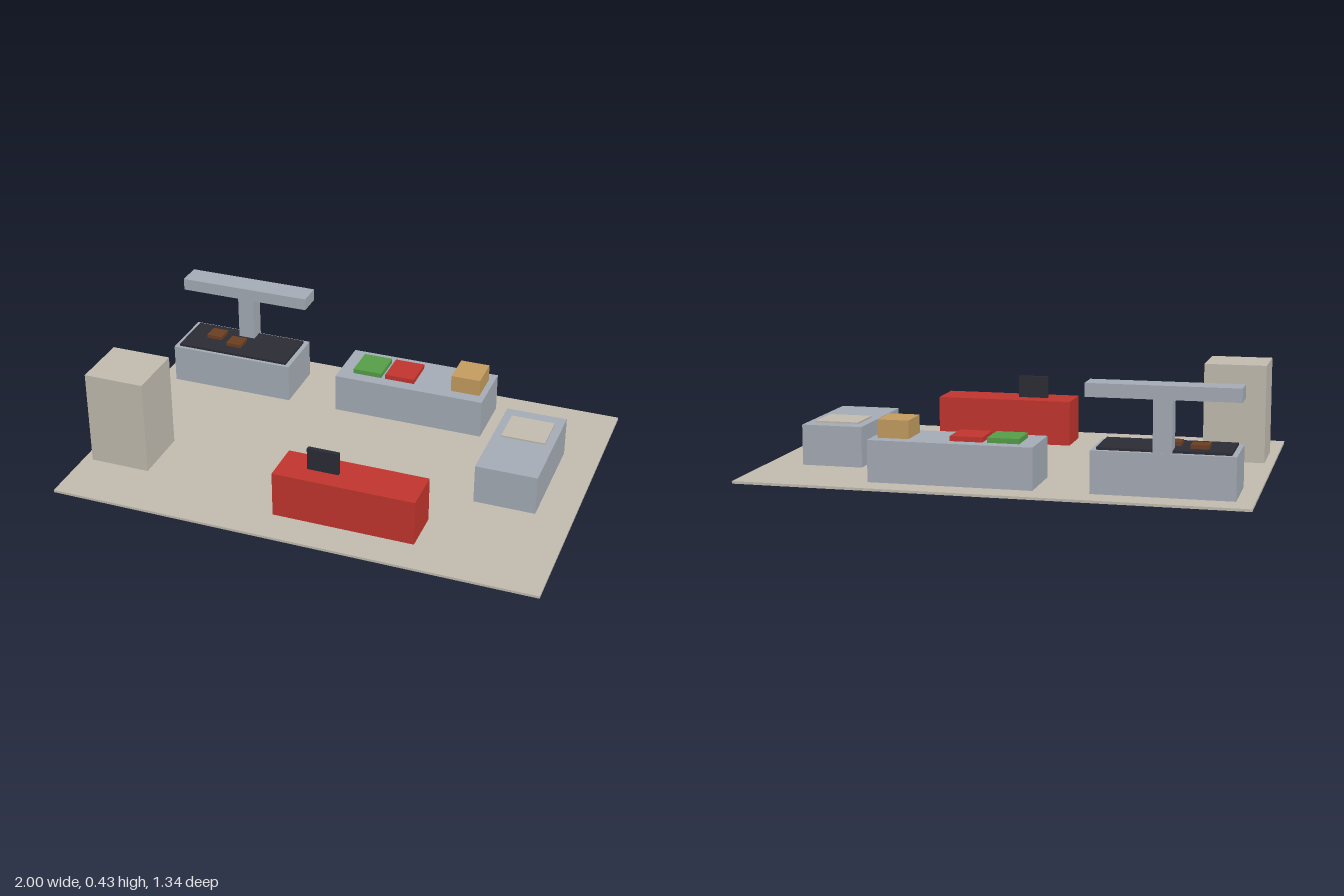
import * as THREE from 'three';

const material = (name, color) => {
  const m = new THREE.MeshStandardMaterial({ color });
  m.name = name;
  return m;
};

export function createModel() {
  const beige = material('beige', 0xc0baae);
  const steel = material('steel', 0xa4abb4);
  const red = material('red', 0xc0342d);
  const black = material('black', 0x2b2c34);
  const brown = material('brown', 0x6b3e22);
  const green = material('green', 0x559d48);
  const tan = material('tan', 0xc29b5e);

  const model = new THREE.Group();
  model.name = 'kitchen';

  const group = (name) => {
    const g = new THREE.Group();
    g.name = name;
    model.add(g);
    return g;
  };

  // Box given by its extents along x, y and z
  const box = (parent, name, mat, [x0, x1], [y0, y1], [z0, z1]) => {
    const mesh = new THREE.Mesh(new THREE.BoxGeometry(x1 - x0, y1 - y0, z1 - z0), mat);
    mesh.position.set((x0 + x1) / 2, (y0 + y1) / 2, (z0 + z1) / 2);
    mesh.name = name;
    parent.add(mesh);
  };

  const floorTop = 0.01;
  const top = 0.175;

  box(model, 'floor', beige, [-1, 1], [0, floorTop], [-0.672, 0.672]);
  box(model, 'fridge', beige, [-0.962, -0.71], [floorTop, 0.41], [0.165, 0.415]);

  // Grill with hood and patties
  const grill = group('grill');
  box(grill, 'grillBase', steel, [-0.93, -0.385], [floorTop, top], [-0.565, -0.315]);
  box(grill, 'grillPlate', black, [-0.91, -0.405], [top, 0.185], [-0.545, -0.33]);
  box(grill, 'hoodPost', steel, [-0.692, -0.62], [top, 0.38], [-0.563, -0.49]);
  box(grill, 'hood', steel, [-0.947, -0.368], [0.378, 0.43], [-0.583, -0.477]);
  for (const [x, z] of [[-0.785, -0.46], [-0.675, -0.42]])
    box(grill, 'patty', brown, [x - 0.035, x + 0.035], [0.185, 0.2], [z - 0.035, z + 0.035]);

  // Preparation table with trays and a bun box
  const prep = group('prepStation');
  box(prep, 'prepTable', steel, [-0.167, 0.485], [floorTop, top], [-0.565, -0.315]);
  box(prep, 'greenTray', green, [-0.103, 0.023], [top, 0.195], [-0.511, -0.367]);
  box(prep, 'redTray', red, [0.041, 0.17], [top, 0.195], [-0.511, -0.367]);
  box(prep, 'bunBox', tan, [0.335, 0.46], [top, 0.247], [-0.511, -0.367]);

  // Side counter with a sheet of paper
  const side = group('sideStation');
  box(side, 'sideCounter', steel, [0.598, 0.85], [floorTop, top], [-0.31, 0.163]);
  box(side, 'wrapSheet', beige, [0.634, 0.815], [top, 0.182], [-0.25, -0.085]);

  // Serving counter with a till screen
  const service = group('service');
  box(service, 'serviceCounter', red, [-0.112, 0.47], [floorTop, 0.2], [0.345, 0.525]);
  box(service, 'tillScreen', black, [0.004, 0.134], [0.2, 0.293], [0.428, 0.446]);

  return model;
}
